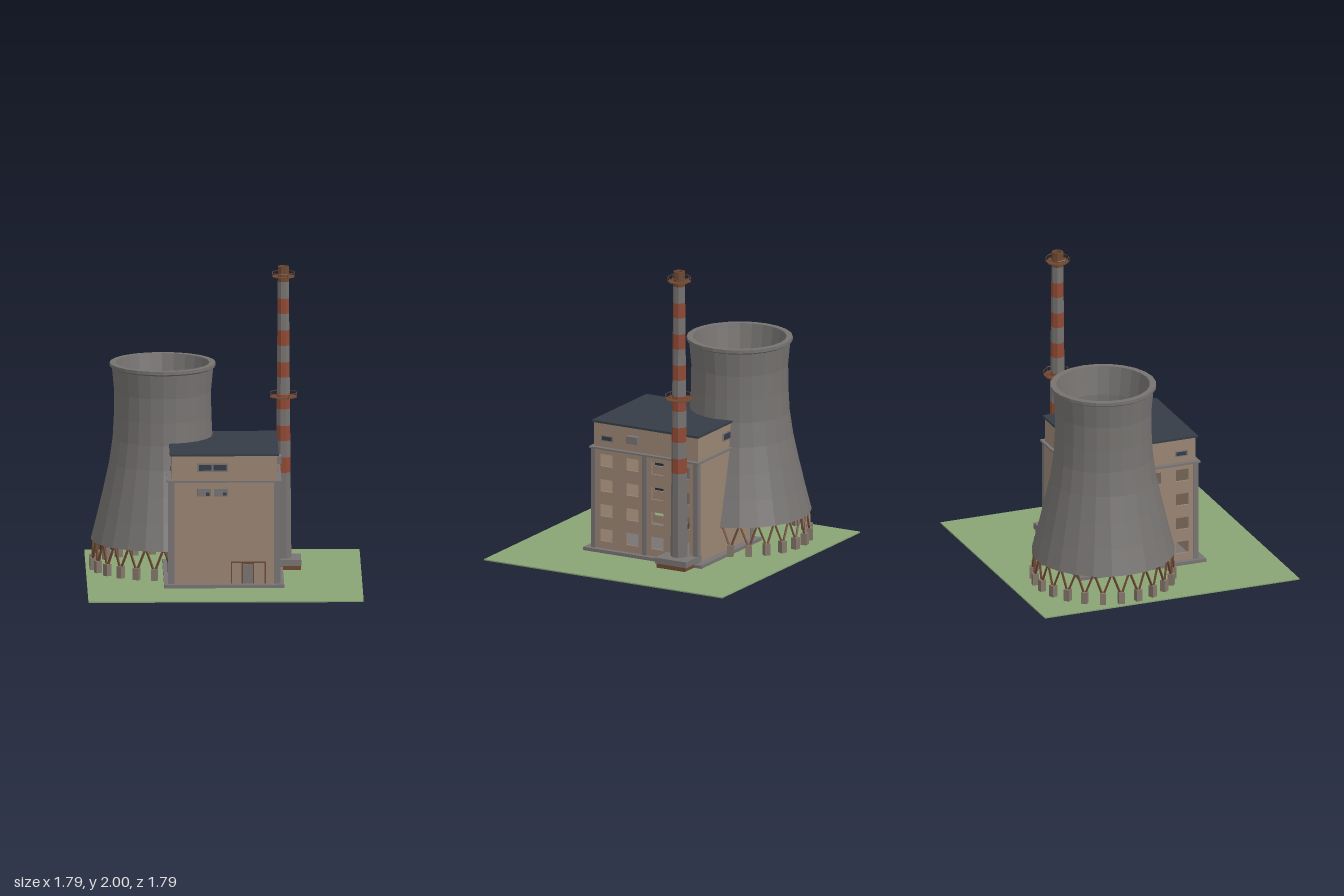
import * as THREE from 'three';

const mat = (name, color, side = THREE.FrontSide) => {
  const m = new THREE.MeshStandardMaterial({ color, flatShading: true, side });
  m.name = name;
  return m;
};

export function createModel() {
  const grass = mat('grass green', 0x88a474);
  const concrete = mat('concrete grey', 0x757270);
  const trim = mat('trim grey', 0x787373);
  const wall = mat('wall tan', 0x9a8573);
  const slate = mat('slate roof', 0x353c46);
  const red = mat('band red', 0x904934);
  const rust = mat('rust brown', 0x6e4832);
  const footing = mat('footing taupe', 0x837669);

  const root = new THREE.Group();
  root.name = 'powerStation';
  const group = (name, x = 0, y = 0, z = 0) => {
    const g = new THREE.Group();
    g.name = name;
    g.position.set(x, y, z);
    root.add(g);
    return g;
  };
  const add = (parent, name, geo, material, x = 0, y = 0, z = 0) => {
    const m = new THREE.Mesh(geo, material);
    m.name = name;
    m.position.set(x, y, z);
    parent.add(m);
    return m;
  };
  // Box given by its extents on each axis
  const block = (parent, name, material, x0, x1, y0, y1, z0, z1) =>
    add(parent, name, new THREE.BoxGeometry(x1 - x0, y1 - y0, z1 - z0), material,
      (x0 + x1) / 2, (y0 + y1) / 2, (z0 + z1) / 2);
  // Thin bar between two points
  const bar = (parent, name, material, a, b, r, sides = 4) => {
    const d = b.clone().sub(a);
    const m = add(parent, name, new THREE.CylinderGeometry(r, r, d.length(), sides), material);
    m.position.copy(a).add(b).multiplyScalar(0.5);
    m.quaternion.setFromUnitVectors(new THREE.Vector3(0, 1, 0), d.normalize());
    return m;
  };
  const polar = (r, a, y) => new THREE.Vector3(r * Math.cos(a), y, r * Math.sin(a));
  const lathe = (pts, n) => new THREE.LatheGeometry(pts.map(p => new THREE.Vector2(...p)), n);

  block(root, 'ground', grass, -0.895, 0.895, 0, 0.008, -0.895, 0.895);

  // Cooling tower shell: outer face, rim, inner face
  const tower = group('coolingTower', -0.395, 0, -0.28);
  add(tower, 'towerShell', lathe([
    [0.44, 0.195], [0.468, 0.2], [0.425, 0.37], [0.385, 0.54], [0.348, 0.71], [0.325, 0.87],
    [0.317, 1.02], [0.315, 1.18], [0.33, 1.335], [0.345, 1.345], [0.345, 1.367],
    [0.305, 1.367], [0.3, 1.335], [0.275, 1.18], [0.272, 1.02], [0.285, 0.87],
    [0.315, 0.71], [0.355, 0.54], [0.398, 0.37], [0.44, 0.195]], 24), concrete);

  // Footings and V-shaped legs
  const count = 24, step = Math.PI * 2 / count;
  for (let i = 0; i < count; i++) {
    const a = (i + 0.5) * step;
    const foot = add(tower, 'towerFooting', new THREE.BoxGeometry(0.04, 0.082, 0.04), footing);
    foot.position.copy(polar(0.458, a, 0.045));
    foot.rotation.y = -a;
    for (const s of [-1, 1])
      bar(tower, 'towerLeg', rust, polar(0.458, a + s * 0.015, 0.08),
        polar(0.45, a + s * step * 0.46, 0.205), 0.008);
  }

  // Water basin inside the tower, with spokes and slats
  add(tower, 'basin', new THREE.CylinderGeometry(0.15, 0.15, 0.03, 8), wall, 0, 0.2, 0).rotation.y = Math.PI / 8;
  add(tower, 'basinCore', new THREE.CylinderGeometry(0.1, 0.1, 0.01, 8), slate, 0, 0.218, 0).rotation.y = Math.PI / 8;
  for (let i = 0; i < 8; i++) {
    const a = i * Math.PI / 4;
    bar(tower, 'basinSpoke', rust, polar(0.14, a, 0.21), polar(0.435, a, 0.21), 0.006);
    bar(tower, 'basinEdge', rust, polar(0.15, a + Math.PI / 8, 0.215), polar(0.15, a + Math.PI * 3 / 8, 0.215), 0.005);
  }
  for (let i = -3; i <= 3; i++) {
    const h = Math.sqrt(0.14 ** 2 - (i * 0.03) ** 2) * 0.8;
    block(tower, 'basinSlat', rust, i * 0.03 - 0.004, i * 0.03 + 0.004, 0.215, 0.228, -h, h);
  }

  // Building
  const hall = group('turbineHall');
  block(hall, 'plinth', trim, -0.395, 0.385, 0.006, 0.03, -0.445, 0.445);
  for (const s of [-1, 1])
    block(hall, 'endWall', wall, -0.355, 0.345, 0.03, 0.7, s * 0.385 - 0.01, s * 0.385 + 0.01);

  // Side walls with open windows in four rows
  const face = new THREE.Shape();
  face.moveTo(-0.39, 0.03).lineTo(0.39, 0.03).lineTo(0.39, 0.7).lineTo(-0.39, 0.7).closePath();
  for (const z of [-0.29, -0.095, 0.095, 0.29])
    for (const y of [0.12, 0.287, 0.455, 0.625]) {
      const w = 0.045, h = 0.041, hole = new THREE.Path();
      hole.moveTo(z - w, y - h).lineTo(z - w, y + h).lineTo(z + w, y + h).lineTo(z + w, y - h).closePath();
      face.holes.push(hole);
    }
  const sideGeo = new THREE.ExtrudeGeometry(face, { depth: 0.012, bevelEnabled: false });
  for (const x of [-0.36, 0.338])
    add(hall, 'sideWall', sideGeo, wall, x, 0, 0).rotation.y = Math.PI / 2;

  // Corner and middle pilasters
  for (const x of [-0.35, 0.34]) {
    for (const z of [-0.385, 0.385])
      block(hall, 'cornerPilaster', trim, x - 0.021, x + 0.021, 0.03, 0.7, z - 0.016, z + 0.016);
    block(hall, 'middlePilaster', trim, x - 0.019, x + 0.019, 0.03, 0.7, -0.018, 0.018);
  }

  // Cornice, attic storey and roof
  block(hall, 'cornice', trim, -0.378, 0.368, 0.7, 0.712, -0.412, 0.412);
  block(hall, 'attic', wall, -0.345, 0.338, 0.712, 0.875, -0.39, 0.39);
  block(hall, 'roof', slate, -0.358, 0.35, 0.873, 0.887, -0.4, 0.4);

  // Attic windows on the front and back
  for (const s of [-1, 1]) {
    const z = s * 0.391;
    block(hall, 'atticWindowFrame', trim, -0.18, 0.02, 0.768, 0.824, z - 0.004, z + 0.004);
    for (const x of [-0.128, -0.032])
      block(hall, 'atticWindowPane', slate, x - 0.042, x + 0.042, 0.777, 0.815, z - 0.006, z + 0.006);
  }
  // Small attic windows on the sides
  for (const x of [-0.345, 0.338]) {
    block(hall, 'sideAtticFrame', trim, x - 0.004, x + 0.004, 0.753, 0.792, 0.245, 0.335);
    block(hall, 'sideAtticPane', slate, x - 0.006, x + 0.006, 0.76, 0.785, 0.255, 0.325);
  }

  // Wall-mounted cooling units
  for (const x of [-0.135, -0.025]) {
    block(hall, 'coolingUnit', trim, x - 0.045, x + 0.045, 0.61, 0.66, 0.39, 0.42);
    block(hall, 'unitGrille', slate, x + 0.012, x + 0.034, 0.616, 0.638, 0.418, 0.422);
  }
  block(hall, 'sideCoolingUnit', trim, 0.335, 0.372, 0.77, 0.82, 0.047, 0.13);

  // Entrance
  for (const x of [0.043, 0.262])
    block(hall, 'entranceJamb', rust, x - 0.004, x + 0.004, 0.03, 0.175, 0.39, 0.405);
  block(hall, 'entranceLintel', rust, 0.039, 0.266, 0.168, 0.176, 0.39, 0.405);
  block(hall, 'doorFrame', rust, 0.108, 0.19, 0.03, 0.165, 0.392, 0.399);
  block(hall, 'door', trim, 0.116, 0.182, 0.03, 0.158, 0.394, 0.402);

  // Chimney on its footing
  const stack = group('chimney', 0.39, 0, -0.28);
  block(stack, 'chimneyBase', rust, -0.07, 0.113, 0.006, 0.04, -0.108, 0.105);
  block(stack, 'chimneySlab', trim, -0.08, 0.115, 0.036, 0.075, -0.12, 0.115);
  const radius = y => 0.057 - 0.0095 * y;
  const section = (name, material, y0, y1) =>
    add(stack, name, new THREE.CylinderGeometry(radius(y1), radius(y0), y1 - y0, 8), material, 0, (y0 + y1) / 2, 0)
      .rotation.y = Math.PI / 8;
  section('chimneyShaft', concrete, 0.07, 0.64);
  for (let i = 0; i < 6; i++) {
    const y = 0.64 + i * 0.21;
    section('redBand', red, y, y + 0.1);
    section('greyBand', concrete, y + 0.1, y + 0.21);
  }
  add(stack, 'chimneyMouth', lathe([[0.039, 1.9], [0.038, 2], [0.028, 2], [0.028, 1.9]], 8), rust)
    .rotation.y = Math.PI / 8;
  add(stack, 'flue', new THREE.CylinderGeometry(0.03, 0.03, 0.03, 8), slate, 0, 1.92, 0);

  // Service platforms with railings
  for (const [y, r] of [[1.137, 0.092], [1.932, 0.076]]) {
    add(stack, 'platformDeck', new THREE.CylinderGeometry(r, r, 0.006, 8), rust, 0, y, 0).rotation.y = Math.PI / 8;
    for (let i = 0; i < 8; i++) {
      const a = (i + 0.5) * Math.PI / 4, b = a + Math.PI / 4;
      bar(stack, 'railPost', rust, polar(r, a, y), polar(r, a, y + 0.028), 0.002);
      bar(stack, 'handRail', rust, polar(r, a, y + 0.027), polar(r, b, y + 0.027), 0.0025);
    }
  }
  return root;
}
